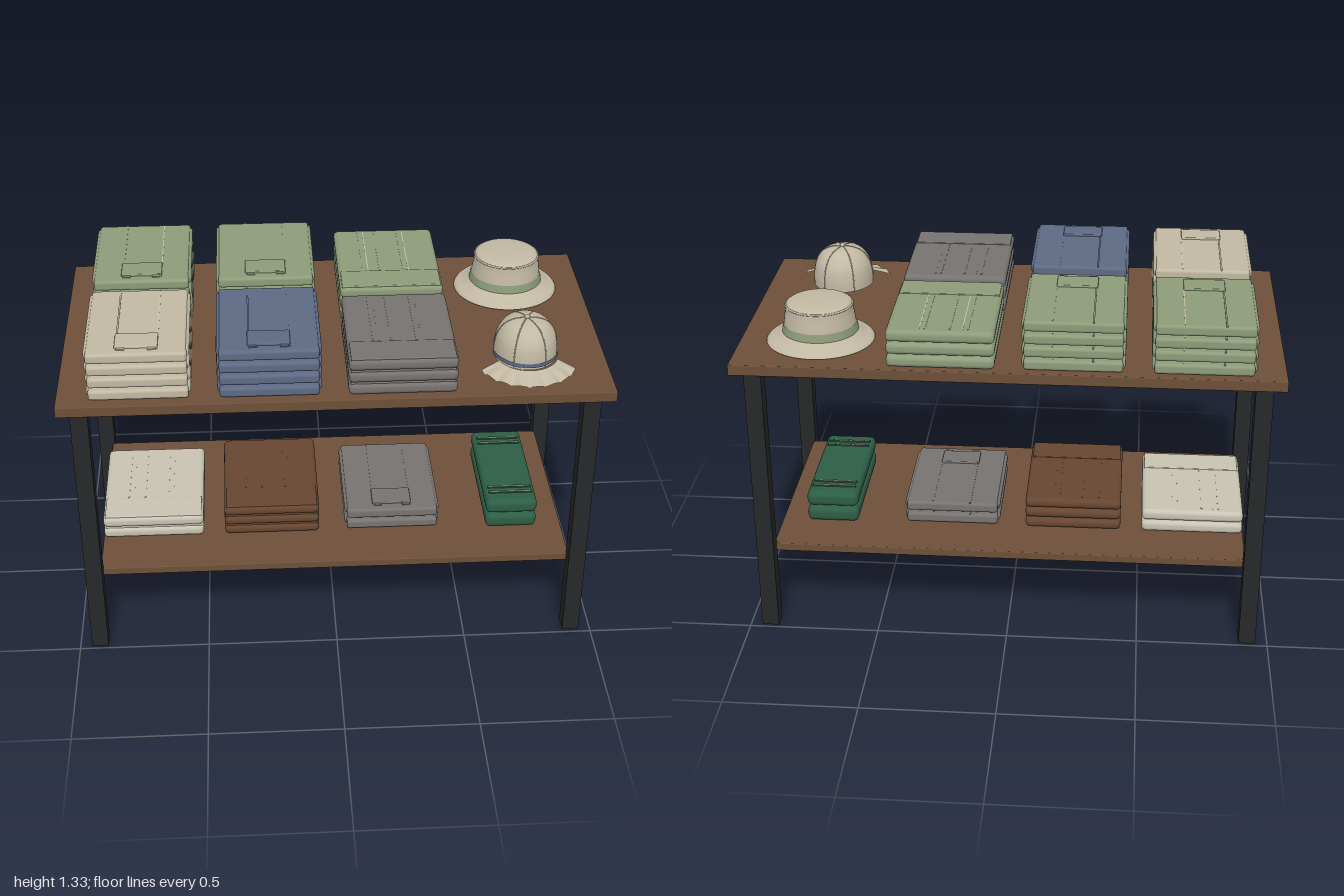
import * as THREE from 'three';
import { RoundedBoxGeometry } from 'three/addons/geometries/RoundedBoxGeometry.js';

const mat = (name, color, side = THREE.FrontSide) => {
  const m = new THREE.MeshStandardMaterial({ color, side });
  m.name = name;
  return m;
};

export function createModel() {
  const root = new THREE.Group();
  root.name = 'clothingTable';
  const M = {
    wood: mat('wood', 0x6d5039),
    black: mat('blackMetal', 0x262829),
    beige: mat('beigeCloth', 0xc2b9a3, THREE.DoubleSide),
    sage: mat('sageCloth', 0x8d9c7a),
    blue: mat('blueCloth', 0x5e6a84),
    grey: mat('greyCloth', 0x767371),
    green: mat('darkGreenCloth', 0x2d5e45),
    brown: mat('brownCloth', 0x674631),
    ivory: mat('ivoryCloth', 0xc8c3b2),
  };

  const add = (parent, name, geo, material, x = 0, y = 0, z = 0) => {
    const mesh = new THREE.Mesh(geo, material);
    mesh.name = name;
    mesh.position.set(x, y, z);
    parent.add(mesh);
    return mesh;
  };
  const box = (p, name, w, h, d, m, x, y, z) => add(p, name, new THREE.BoxGeometry(w, h, d), m, x, y, z);
  const soft = (p, name, w, h, d, r, m, x, y, z) =>
    add(p, name, new RoundedBoxGeometry(w, h, d, 3, r), m, x, y, z);
  const group = (name, x, y, z) => {
    const g = new THREE.Group();
    g.name = name;
    g.position.set(x, y, z);
    root.add(g);
    return g;
  };

  // Table
  soft(root, 'tableTop', 2, 0.042, 1.06, 0.004, M.wood, 0, 1.111, 0);
  soft(root, 'lowerShelf', 1.8, 0.032, 0.86, 0.004, M.wood, 0, 0.32, 0);
  for (const sx of [-1, 1]) for (const sz of [-1, 1]) {
    box(root, 'leg', 0.064, 1.09, 0.064, M.black, sx * 0.923, 0.545, sz * 0.453);
  }

  // Folded shirts: body, tucked sleeves, placket, seam and chest pocket
  function shirtStack(name, m, seam, x, y, z, count) {
    const g = group(name, x, y, z);
    for (let i = 0; i < count; i++) {
      const b = i * 0.0497, top = b + 0.042;
      soft(g, 'foldedShirt', 0.355, 0.04, 0.465, 0.012, m, 0, b + 0.022, 0);
      for (const s of [-1, 1]) {
        soft(g, 'sleeveFold', 0.06, 0.03, 0.42, 0.012, m, s * 0.156, b + 0.023, -0.005);
      }
      soft(g, 'pocket', 0.152, 0.012, 0.095, 0.004, m, 0, top + 0.002, 0.145);
      for (const s of [-1, 1]) {
        box(g, 'pocketTab', 0.03, 0.006, 0.014, m, s * 0.055, top + 0.001, 0.198);
      }
      box(g, 'placket', 0.006, 0.005, 0.33, m, -0.07, top, -0.062);
      box(g, 'sideSeam', 0.004, 0.003, 0.42, seam, 0.075, top, -0.01);
    }
  }

  // Folded trousers: legs, waistband and pressed seams
  function trouserStack(name, m, seam, x, y, z, count, step, w = 0.39) {
    const g = group(name, x, y, z);
    for (let i = 0; i < count; i++) {
      const b = i * step, h = step - 0.004, top = b + h;
      soft(g, 'foldedTrousers', w, h, 0.485, 0.018, m, 0, b + h / 2 + 0.001, 0);
      soft(g, 'waistband', w - 0.015, 0.012, 0.125, 0.004, m, 0, top - 0.002, 0.17);
      [-0.1, -0.035, 0.055].forEach((sx) =>
        box(g, 'legSeam', 0.006, 0.005, 0.32, m, sx, top, -0.055));
      for (const sx of [-0.08, 0.075]) {
        box(g, 'paleStitch', 0.004, 0.003, 0.32, seam, sx, top, -0.055);
      }
    }
  }

  const TOP = 1.131, SHELF = 0.336;
  shirtStack('beigeShirts', M.beige, M.ivory, -0.705, TOP, 0.26, 4);
  shirtStack('blueShirts', M.blue, M.blue, -0.24, TOP, 0.265, 4);
  shirtStack('sageShirts', M.sage, M.beige, -0.705, TOP, -0.27, 4);
  shirtStack('sageShirts', M.sage, M.sage, -0.24, TOP, -0.27, 4);
  shirtStack('greyShirts', M.grey, M.grey, 0.232, SHELF, 0, 2);
  trouserStack('greyTrousers', M.grey, M.grey, 0.235, TOP, 0.262, 3, 0.049);
  trouserStack('sageTrousers', M.sage, M.beige, 0.235, TOP, -0.268, 3, 0.049);
  trouserStack('ivoryTrousers', M.ivory, M.ivory, -0.702, SHELF, 0, 2, 0.049);
  trouserStack('brownTrousers', M.brown, M.brown, -0.24, SHELF, 0, 3, 0.0435, 0.37);

  // Green bundles with paired straps
  const bundles = group('greenBundles', 0.7, SHELF, 0);
  for (let i = 0; i < 2; i++) {
    soft(bundles, 'bundle', 0.2, 0.06, 0.508, 0.022, M.green, 0, 0.031 + i * 0.066, 0);
  }
  for (const s of [-1, 1]) for (const z of [0.155, 0.19]) {
    box(bundles, 'strap', 0.17, 0.006, 0.012, M.green, 0, 0.129, s * z);
    box(bundles, 'strapStitch', 0.16, 0.003, 0.004, M.beige, 0, 0.132, s * z);
  }

  const lathe = (pts, n = 48) =>
    new THREE.LatheGeometry(new THREE.SplineCurve(pts.map((p) => new THREE.Vector2(...p))).getPoints(40), n);

  // Wide-brimmed sun hat
  const hat = group('sunHat', 0.703, TOP, -0.272);
  add(hat, 'brim', lathe([[0.2, 0.006], [0.19, 0.016], [0.165, 0.027], [0.138, 0.045]]), M.beige);
  add(hat, 'crown', lathe([[0.138, 0.036], [0.132, 0.08], [0.126, 0.12], [0.123, 0.143],
    [0.112, 0.154], [0.09, 0.159], [0.05, 0.163], [0.0001, 0.164]]), M.beige);
  add(hat, 'hatBand', new THREE.CylinderGeometry(0.135, 0.141, 0.032, 48, 1, true), M.sage, 0, 0.058, 0);
  add(hat, 'crownPiping', new THREE.TorusGeometry(0.122, 0.004, 8, 48).rotateX(Math.PI / 2), M.beige, 0, 0.144, 0);

  // Panelled cap with a scalloped visor
  const cap = group('cap', 0.703, TOP, 0.262);
  const crown = new THREE.Group();
  crown.name = 'capCrown';
  crown.scale.set(0.117, 1, 0.13);
  cap.add(crown);
  const profile = [[1, 0.018], [0.985, 0.06], [0.9, 0.105], [0.68, 0.143], [0.36, 0.161], [0.0001, 0.165]];
  add(crown, 'dome', lathe(profile), M.beige);
  add(cap, 'button', new THREE.SphereGeometry(0.01, 16, 10), M.beige, 0, 0.167, 0);
  for (let i = 0; i < 6; i++) {
    const a = (i + 0.5) * Math.PI / 3;
    const pts = profile.map(([r, y]) =>
      new THREE.Vector3(Math.sin(a) * r * 0.117, y, Math.cos(a) * r * 0.13));
    add(cap, 'panelSeam', new THREE.TubeGeometry(new THREE.CatmullRomCurve3(pts), 20, 0.0022, 6), M.beige);
  }
  const band = new THREE.CylinderGeometry(1, 1, 0.016, 32, 1, true, -1.4, 2.8);
  add(cap, 'capBand', band.scale(0.121, 1, 0.134), M.blue, 0, 0.037, 0);

  // Visor: a fan whose rows slope down and ripple towards the rim
  const visor = new THREE.PlaneGeometry(1, 1, 64, 6);
  const p = visor.attributes.position;
  for (let i = 0; i < p.count; i++) {
    const a = p.getX(i) * 2.5, t = 0.5 - p.getY(i);
    const r = 0.112 + t * 0.07;
    const ripple = 0.004 * t * Math.sin(a * 18);
    p.setXYZ(i, Math.sin(a) * r, 0.033 - 0.026 * t + ripple, 0.045 + Math.cos(a) * (r + ripple));
  }
  visor.computeVertexNormals();
  add(cap, 'visor', visor, M.beige);

  return root;
}
